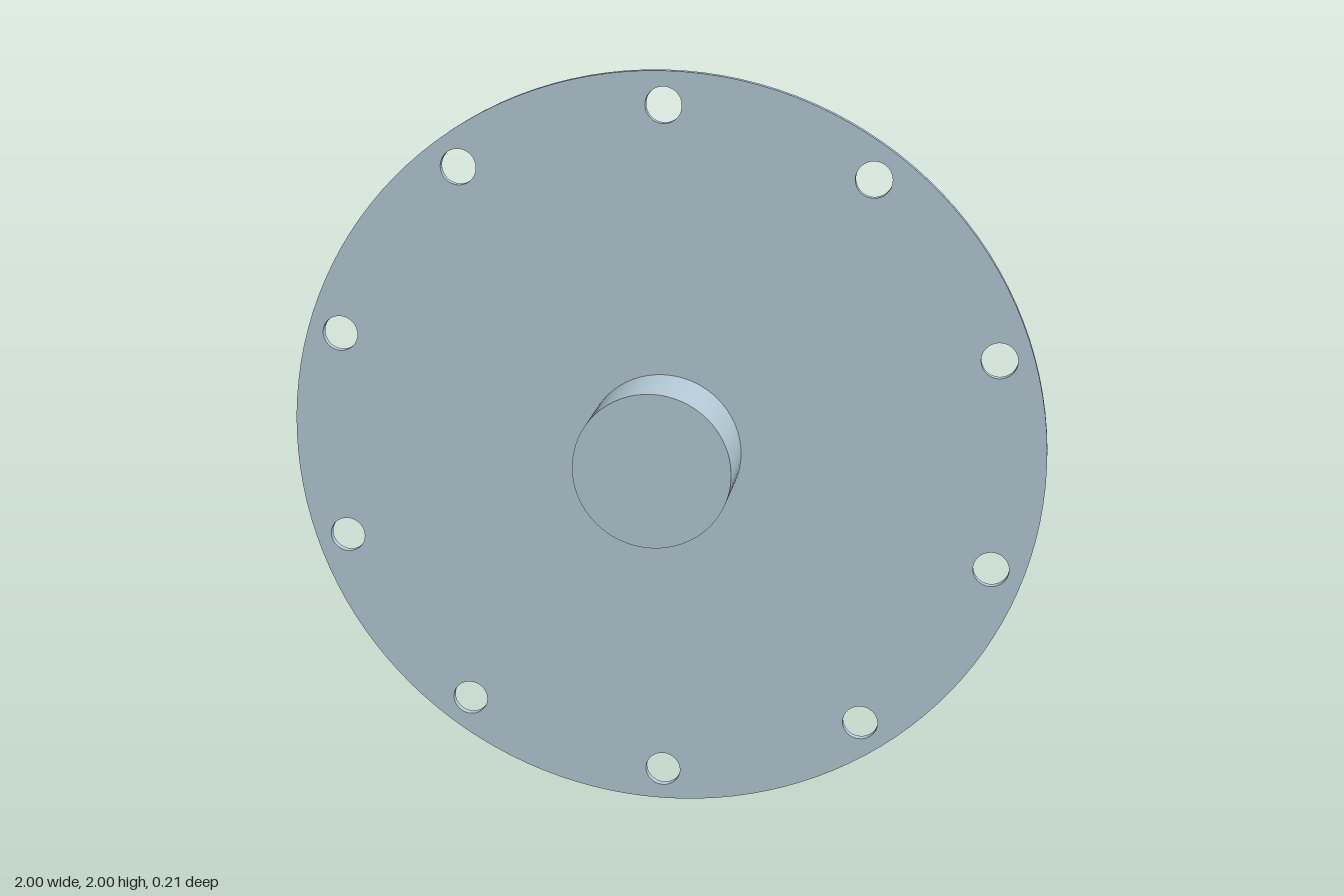
import * as THREE from 'three';
import { toCreasedNormals } from 'three/addons/utils/BufferGeometryUtils.js';

const BACK = -0.105, PLATE_FRONT = -0.085, HUB_FRONT = 0.105;
const HOLES = 10, BOLT_CIRCLE = 0.913, HOLE_RADIUS = 0.047, HUB_RADIUS = 0.207;

export function createModel() {
  const group = new THREE.Group();
  const material = new THREE.MeshStandardMaterial({ color: 0xb4cad6 });

  // Thin round flange with a ring of bolt holes, one at the very top
  const disc = new THREE.Shape();
  disc.absarc(0, 0, 1, 0, Math.PI * 2, false);
  for (let i = 0; i < HOLES; i++) {
    const a = (i / HOLES) * Math.PI * 2;
    const hole = new THREE.Path();
    hole.absarc(BOLT_CIRCLE * Math.sin(a), BOLT_CIRCLE * Math.cos(a), HOLE_RADIUS, 0, Math.PI * 2, true);
    disc.holes.push(hole);
  }
  const plateGeometry = new THREE.ExtrudeGeometry(disc, {
    depth: PLATE_FRONT - BACK, bevelEnabled: false, curveSegments: 64,
  });
  const plate = new THREE.Mesh(toCreasedNormals(plateGeometry, 0.6), material);
  plate.name = 'flangePlate';
  plate.position.set(0, 1, BACK);
  group.add(plate);

  // Solid cylindrical boss on the front face
  const depth = HUB_FRONT - PLATE_FRONT;
  const hub = new THREE.Mesh(new THREE.CylinderGeometry(HUB_RADIUS, HUB_RADIUS, depth, 64), material);
  hub.name = 'centralBoss';
  hub.rotation.x = Math.PI / 2;
  hub.position.set(0, 1, PLATE_FRONT + depth / 2);
  group.add(hub);

  return group;
}
